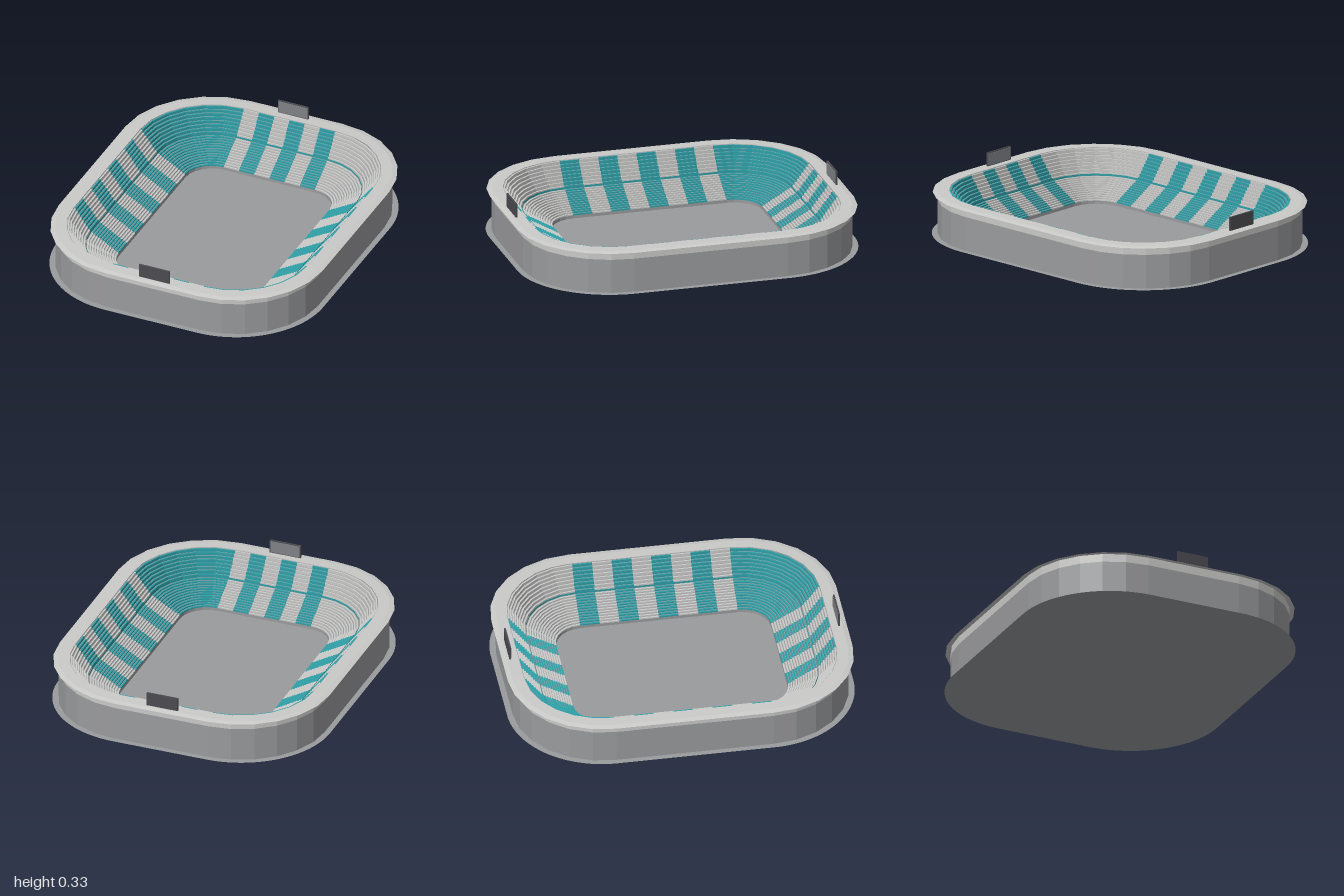
import * as THREE from 'three';

const HX = 0.286, HZ = 0.455;      // half lengths of the straight sides
const R_PITCH = 0.166, R_MID = 0.338, R_RIM = 0.447, R_WALL = 0.512, R_EDGE = 0.545;

function material(name, color) {
  const m = new THREE.MeshStandardMaterial({ color, side: THREE.DoubleSide });
  m.name = name;
  return m;
}

// The plan is a rounded rectangle, cut into sections of stations {x, z, nx, nz};
// a station offset by r along its normal gives a point on the ring of radius r.
function planSections() {
  const sections = [];
  const corners = [[-HX, -HZ], [HX, -HZ], [HX, HZ], [-HX, HZ]];
  corners.forEach(([x, z], i) => {
    const corner = [];
    for (let k = 0; k <= 6; k++) {
      const a = Math.PI + (i + k / 6) * Math.PI / 2;
      corner.push({ x, z, nx: Math.cos(a), nz: Math.sin(a) });
    }
    sections.push(corner);
    const { nx, nz } = corner[6];
    const [x2, z2] = corners[(i + 1) % 4];
    const count = i % 2 ? 8 : 6;
    const at = (t) => ({ x: x + (x2 - x) * t, z: z + (z2 - z) * t, nx, nz });
    for (let k = 0; k < count; k++) sections.push([at(k / count), at((k + 1) / count)]);
  });
  return sections;
}

// Adds the strip between two profile points [r, y] along one section
function addBand(out, stations, p0, p1) {
  const point = (s, [r, y]) => [s.x + s.nx * r, y, s.z + s.nz * r];
  for (let i = 0; i + 1 < stations.length; i++) {
    const a0 = point(stations[i], p0), a1 = point(stations[i], p1);
    const b0 = point(stations[i + 1], p0), b1 = point(stations[i + 1], p1);
    out.push(...a0, ...b0, ...b1, ...a0, ...b1, ...a1);
  }
}

function facetMesh(name, positions, mat) {
  const g = new THREE.BufferGeometry();
  g.setAttribute('position', new THREE.Float32BufferAttribute(positions, 3));
  g.computeVertexNormals();
  const mesh = new THREE.Mesh(g, mat);
  mesh.name = name;
  return mesh;
}

export function createModel() {
  const model = new THREE.Group();
  model.name = 'stadium';
  const grey = material('concrete grey', 0x9a9b9d);
  const light = material('light grey', 0xcacac9);
  const teal = material('teal', 0x2fa0a8);
  const dark = material('dark grey', 0x4b4b50);
  const screenGrey = material('screen grey', 0x808186);
  const sections = planSections();

  // A ring swept round the whole plan from a profile of [r, y] points
  const ring = (name, profile, mat) => {
    const out = [];
    for (const s of sections)
      for (let i = 0; i + 1 < profile.length; i++) addBand(out, s, profile[i], profile[i + 1]);
    model.add(facetMesh(name, out, mat));
  };

  // Ground slab with smooth corners, which is also the pitch
  const plan = new THREE.Shape();
  plan.absarc(HX, HZ, R_EDGE, 0, Math.PI / 2);
  plan.absarc(-HX, HZ, R_EDGE, Math.PI / 2, Math.PI);
  plan.absarc(-HX, -HZ, R_EDGE, Math.PI, Math.PI * 1.5);
  plan.absarc(HX, -HZ, R_EDGE, Math.PI * 1.5, Math.PI * 2);
  const ground = new THREE.Mesh(new THREE.ShapeGeometry(plan, 16).rotateX(-Math.PI / 2), grey);
  ground.name = 'ground';
  model.add(ground);

  // Outer shell, roof and the low walls inside
  ring('outerWall', [[R_WALL, 0.2], [R_WALL, 0]], grey);
  ring('fascia', [[R_WALL, 0.248], [R_WALL, 0.2]], light);
  ring('roof', [[R_RIM, 0.254], [R_WALL, 0.252], [R_EDGE - 0.004, 0.246]], light);
  ring('pitchWall', [[R_PITCH, 0], [R_PITCH, 0.018]], grey);
  ring('walkway', [[R_MID, 0.116], [R_MID + 0.006, 0.116]], grey);
  ring('walkwayFence', [[R_MID, 0.116], [R_MID, 0.128]], teal);

  // Stepped seating in two tiers; sections alternate in colour
  const seats = [[], []], steps = [];
  const tiers = [
    { r0: R_PITCH, r1: R_MID, y0: 0.018, y1: 0.116, rows: 12 },
    { r0: R_MID + 0.006, r1: R_RIM, y0: 0.116, y1: 0.25, rows: 8 },
  ];
  sections.forEach((s, i) => {
    for (const { r0, r1, y0, y1, rows } of tiers) {
      const run = (r1 - r0) / rows, rise = (y1 - y0) / rows;
      for (let k = 0; k < rows; k++) {
        const r = r0 + k * run, y = y0 + k * rise, top = y + rise;
        addBand(seats[i % 2], s, [r, y], [r, top]);
        addBand(seats[i % 2], s, [r, top], [r + run * 0.7, top]);
        addBand(steps, s, [r + run * 0.7, top], [r + run, top]);
      }
    }
  });
  model.add(facetMesh('tealSeats', seats[0], teal));
  model.add(facetMesh('lightSeats', seats[1], light));
  model.add(facetMesh('seatingSteps', steps, grey));

  // Scoreboards at both ends, screens facing the pitch
  for (const side of [1, -1]) {
    const board = new THREE.Group();
    board.name = side > 0 ? 'frontScoreboard' : 'backScoreboard';
    const casing = new THREE.Mesh(new THREE.BoxGeometry(0.19, 0.081, 0.01), dark);
    casing.name = 'casing';
    const screen = new THREE.Mesh(new THREE.BoxGeometry(0.18, 0.071, 0.003), screenGrey);
    screen.name = 'screen';
    screen.position.z = -0.0055;
    board.add(casing, screen);
    board.position.set(0, 0.2925, side * 0.95);
    if (side < 0) board.rotation.y = Math.PI;
    model.add(board);
  }
  return model;
}
